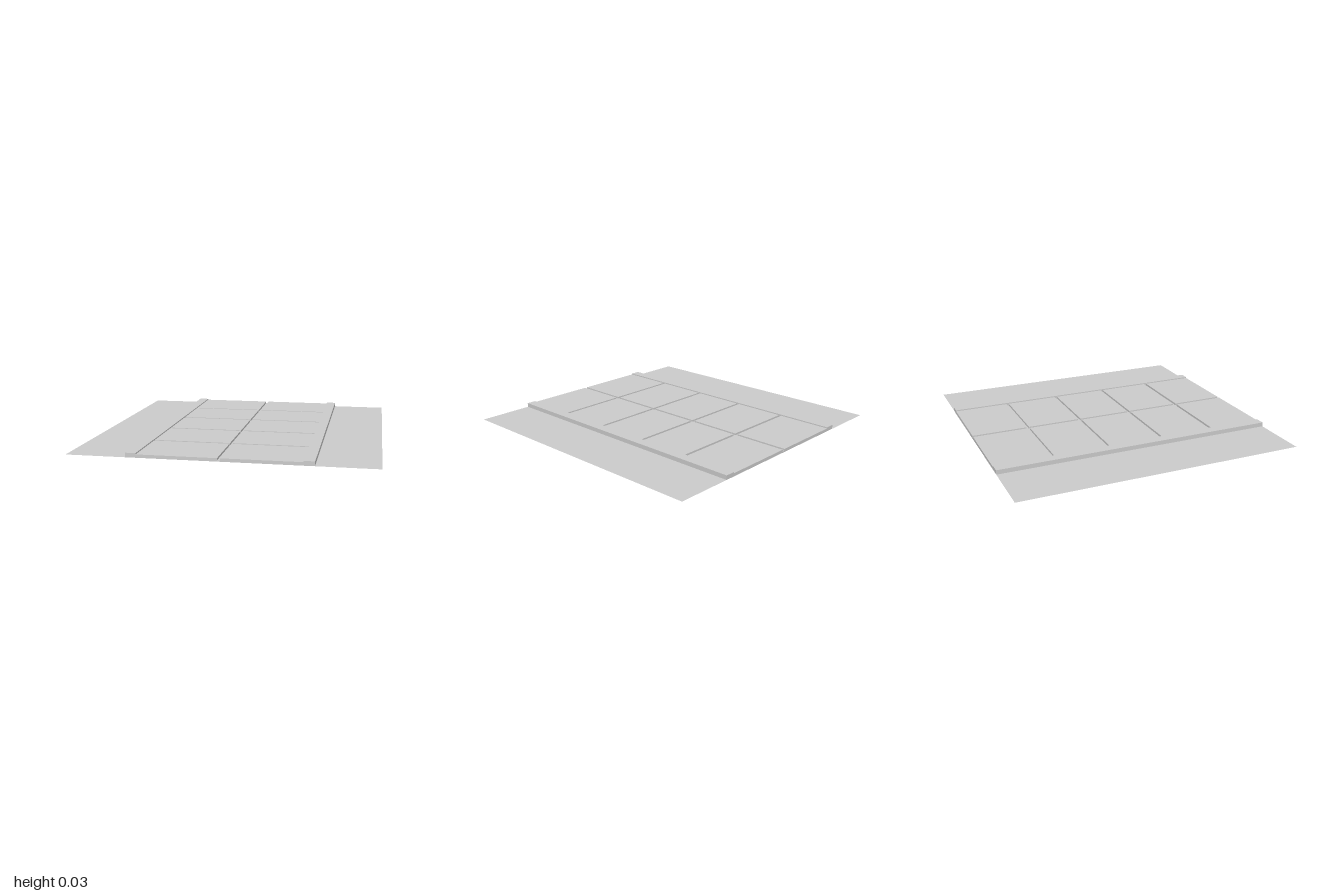
import * as THREE from 'three';
import { mergeGeometries } from 'three/addons/utils/BufferGeometryUtils.js';

const ROAD = 0.022, KERB = 0.03, FLOOR = 0.008; // surface heights
const IN = 0.53, OUT = 0.6;                     // kerb inner and outer edge
const G0 = -0.005, G1 = 0.015;                  // lengthwise joint edges
const JOINTS = [-0.595, -0.195, 0.205, 0.605];  // cross joint centres
const HALF = 0.01;

// horizontal rectangle facing up
const flat = (x0, x1, z0, z1, y) => new THREE.PlaneGeometry(x1 - x0, z1 - z0)
  .rotateX(-Math.PI / 2).translate((x0 + x1) / 2, y, (z0 + z1) / 2);
// upright rectangle at constant x, facing side (+1 or -1)
const wallX = (x, z0, z1, y0, y1, side) => new THREE.PlaneGeometry(z1 - z0, y1 - y0)
  .rotateY(side * Math.PI / 2).translate(x, (y0 + y1) / 2, (z0 + z1) / 2);
// upright rectangle at constant z, facing side (+1 or -1)
const wallZ = (z, x0, x1, y0, y1, side) => new THREE.PlaneGeometry(x1 - x0, y1 - y0)
  .rotateY(side > 0 ? 0 : Math.PI).translate((x0 + x1) / 2, (y0 + y1) / 2, z);

export function createModel() {
  const group = new THREE.Group();
  const material = new THREE.MeshStandardMaterial({ color: 0xcccccc, side: THREE.DoubleSide });
  const add = (name, parts) => {
    const mesh = new THREE.Mesh(mergeGeometries(parts), material);
    mesh.name = name;
    group.add(mesh);
  };

  // flat verges and raised kerbs on both sides
  for (const s of [-1, 1]) {
    const label = s > 0 ? 'left' : 'right';
    const span = (a, b) => (s > 0 ? [a, b] : [-b, -a]);
    add(label + 'Verge', [flat(...span(OUT, 1), -1, 1, 0)]);
    add(label + 'Kerb', [
      flat(...span(IN, OUT), -1, 1, KERB),
      wallX(s * OUT, -1, 1, 0, KERB, s),
      wallX(s * IN, -1, 1, ROAD, KERB, -s),
      ...[-1, 1].map((e) => wallZ(e, ...span(IN, OUT), 0, KERB, e)),
    ]);
  }

  // road slabs, two columns of five, with walls down into the joints
  const starts = [-1, ...JOINTS.map((z) => z + HALF)];
  const ends = [...JOINTS.map((z) => z - HALF), 1];
  for (const [x0, x1, edge, side] of [[-IN, G0, G0, 1], [G1, IN, G1, -1]]) {
    starts.forEach((z0, i) => {
      const z1 = ends[i];
      add('roadSlab', [
        flat(x0, x1, z0, z1, ROAD),
        wallX(edge, z0, z1, FLOOR, ROAD, side),
        wallZ(z0, x0, x1, z0 === -1 ? 0 : FLOOR, ROAD, -1),
        wallZ(z1, x0, x1, z1 === 1 ? 0 : FLOOR, ROAD, 1),
      ]);
    });
  }

  // sunken joint floors, with closed ends at the kerbs
  add('lengthwiseJoint', [
    flat(G0, G1, -1, 1, FLOOR),
    ...[-1, 1].map((e) => wallZ(e, G0, G1, 0, FLOOR, e)),
  ]);
  for (const z of JOINTS) {
    const a = z - HALF, b = z + HALF;
    add('crossJoint', [
      flat(-IN, G0, a, b, FLOOR),
      flat(G1, IN, a, b, FLOOR),
      wallX(-IN, a, b, FLOOR, ROAD, 1),
      wallX(IN, a, b, FLOOR, ROAD, -1),
    ]);
  }
  return group;
}
